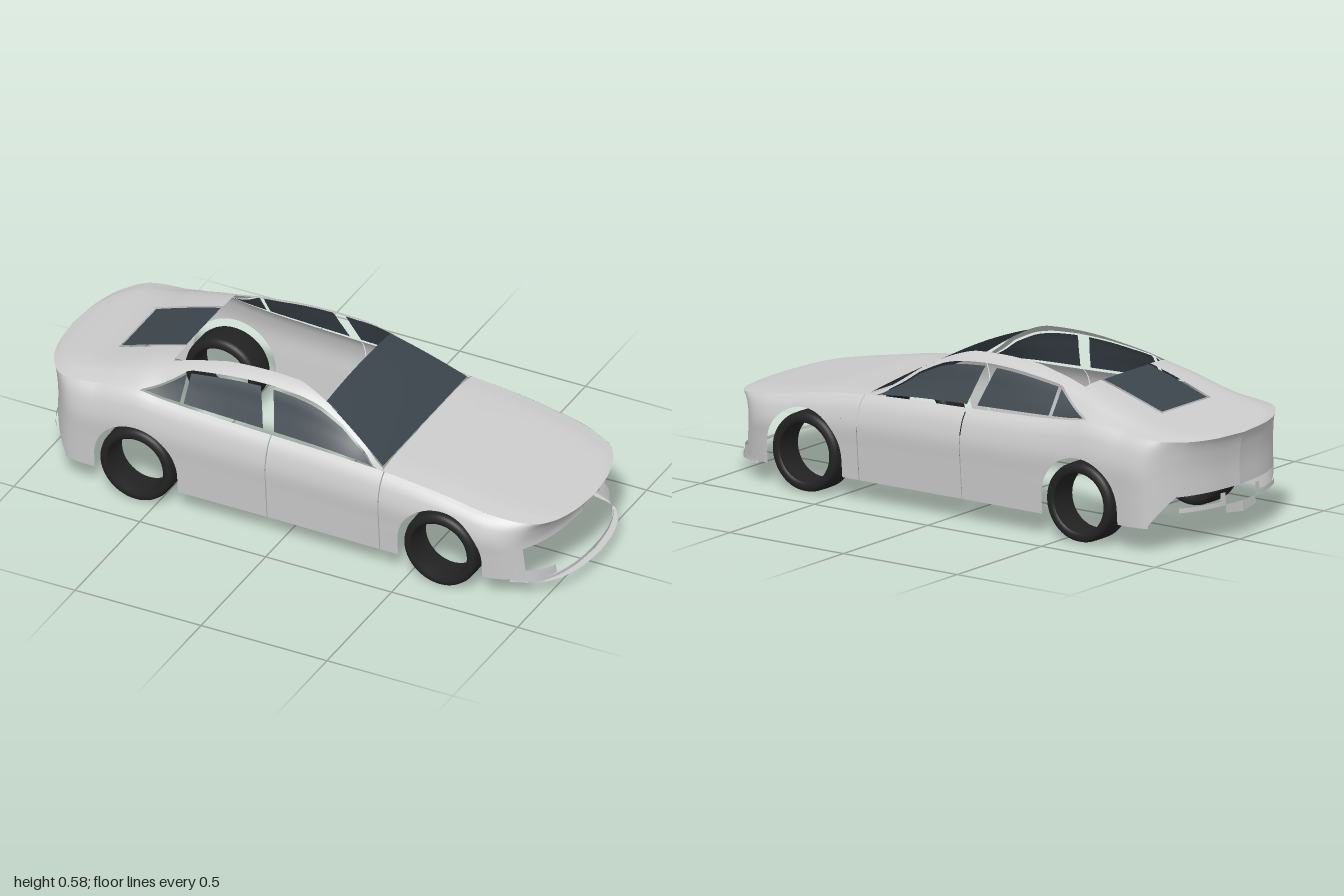
import * as THREE from 'three';

const paint = new THREE.MeshStandardMaterial({ color: 0xcccccc, side: THREE.DoubleSide });
const glass = new THREE.MeshStandardMaterial({ color: 0x3c454c, side: THREE.DoubleSide });
const rubber = new THREE.MeshStandardMaterial({ color: 0x222222, side: THREE.DoubleSide });

const { lerp, clamp } = THREE.MathUtils;

// Lookup in [x, value] pairs; smooth uses a cubic through the points.
function table(pts, smooth = false) {
  const n = pts.length;
  const slope = i => {
    const a = pts[Math.max(i - 1, 0)], b = pts[Math.min(i + 1, n - 1)];
    return (b[1] - a[1]) / (b[0] - a[0]);
  };
  return x => {
    x = clamp(x, pts[0][0], pts[n - 1][0]);
    let i = 0;
    while (i < n - 2 && x > pts[i + 1][0]) i++;
    const [x0, y0] = pts[i], [x1, y1] = pts[i + 1], h = x1 - x0, t = (x - x0) / h;
    if (!smooth) return lerp(y0, y1, t);
    const t2 = t * t, t3 = t2 * t;
    return (2 * t3 - 3 * t2 + 1) * y0 + (t3 - 2 * t2 + t) * h * slope(i)
      + (3 * t2 - 2 * t3) * y1 + (t3 - t2) * h * slope(i + 1);
  };
}

// Half outline in plan, nose centre round the left side to tail centre
const outline = new THREE.CatmullRomCurve3([
  [1, 0], [0.985, 0.15], [0.95, 0.27], [0.9, 0.345], [0.82, 0.385], [0.65, 0.395], [0.3, 0.395], [0, 0.392],
  [-0.4, 0.392], [-0.7, 0.392], [-0.85, 0.375], [-0.93, 0.29], [-0.978, 0.17], [-1, 0],
].map(([x, z]) => new THREE.Vector3(x, 0, z)));

function paramAt(x) {
  if (x >= 1) return 0;
  if (x <= -1) return 1;
  let a = 0, b = 1;
  for (let i = 0; i < 30; i++) {
    const m = (a + b) / 2;
    if (outline.getPoint(m).x > x) a = m; else b = m;
  }
  return (a + b) / 2;
}

// Shoulder height, rise of the centre line above it, and inset of the flanks
const shoulder = table([[-1, 0.395], [-0.8, 0.415], [-0.6, 0.44], [-0.5, 0.428], [-0.4, 0.42], [-0.2, 0.41], [0, 0.403],
  [0.2, 0.397], [0.38, 0.387], [0.6, 0.362], [0.8, 0.325], [0.9, 0.305], [1, 0.287]], true);
const rise = table([[-1, 0], [-0.95, 0.01], [-0.8, 0.027], [-0.6, 0.066], [-0.5, 0.107], [-0.4, 0.14], [-0.2, 0.178],
  [0, 0.184], [0.1, 0.165], [0.2, 0.123], [0.3, 0.062], [0.38, 0.013], [0.6, 0.012], [0.9, 0.01], [1, 0]], true);
const inset = table([[0, 0.015], [0.4, 0.005], [0.65, 0], [0.85, 0.014], [0.95, 0.032], [1, 0.05]], true);
const insetScale = table([[-1, 0.45], [-0.9, 0.6], [-0.75, 1], [1, 1]]);

// Point on the flank at outline parameter s and height y
function flank(s, y, extra = 0) {
  const p = outline.getPoint(s), t = outline.getTangent(s);
  const d = extra + inset(clamp((y - 0.08) / (shoulder(p.x) - 0.08), 0, 1)) * insetScale(p.x);
  return [p.x + t.z * d, y, Math.max(p.z - t.x * -d, 0)];
}

// Upper cross-section: fractions of half width and rise from shoulder (t=0) to centre (t=1)
const section = new THREE.CatmullRomCurve3([[1, 0], [0.89, 0.42], [0.78, 0.8], [0.64, 0.96], [0.35, 1], [0, 1.01]]
  .map(([z, y]) => new THREE.Vector3(0, y, z)));
function upper(s, t) {
  const bx = outline.getPoint(s).x, h = shoulder(bx), e = flank(s, h), q = section.getPoint(t);
  return [e[0], h + rise(bx) * q.y, e[2] * q.z];
}
const upperAt = (x, t) => upper(paramAt(x), t);

// Grid surface from fn(u, v), drawn on both sides of the car
function panel(group, name, mat, nu, nv, fn) {
  for (const m of [1, -1]) {
    const pos = [], idx = [];
    for (let i = 0; i <= nu; i++) for (let j = 0; j <= nv; j++) {
      const [x, y, z] = fn(i / nu, j / nv);
      pos.push(x, y, z * m);
      if (i < nu && j < nv) {
        const a = i * (nv + 1) + j, b = a + nv + 1;
        if (m > 0) idx.push(a, a + 1, b, b, a + 1, b + 1);
        else idx.push(a, b, a + 1, b, b + 1, a + 1);
      }
    }
    const g = new THREE.BufferGeometry();
    g.setAttribute('position', new THREE.Float32BufferAttribute(pos, 3));
    g.setIndex(idx);
    g.computeVertexNormals();
    const mesh = new THREE.Mesh(g, mat);
    mesh.name = (m > 0 ? 'left ' : 'right ') + name;
    group.add(mesh);
  }
}

const WHEELS = [0.63, -0.577], WHEEL_Y = 0.145, ARCH = 0.165;

export function createModel() {
  const car = new THREE.Group();
  car.name = 'car';

  // Flank panels: x range and lower edge
  const arch = cx => x => WHEEL_Y + Math.sqrt(Math.max(ARCH ** 2 - (x - cx) ** 2, 0));
  const level = y => () => y;
  const flanks = [
    ['nose band', 1, 0.925, level(0.2)],
    ['front bumper corner', 0.925, WHEELS[0] + ARCH, level(0.08)],
    ['front fender', WHEELS[0] + ARCH, WHEELS[0] - ARCH, arch(WHEELS[0])],
    ['front fender rear', WHEELS[0] - ARCH, 0.394, level(0.08)],
    ['front door', 0.39, -0.056, level(0.08)],
    ['rear door', -0.06, WHEELS[1] + ARCH, level(0.08)],
    ['rear fender', WHEELS[1] + ARCH, WHEELS[1] - ARCH, arch(WHEELS[1])],
    ['rear bumper corner', WHEELS[1] - ARCH, -0.86, level(0.09)],
    ['rear bumper taper', -0.86, -0.93, table([[-0.93, 0.2], [-0.86, 0.1]])],
    ['tail band', -0.93, -1, level(0.2)],
  ];
  for (const [name, x0, x1, low] of flanks) {
    const a = paramAt(x0), b = paramAt(x1), arched = /fender$/.test(name);
    panel(car, name, paint, arched ? 40 : 20, 24, (u, v) => {
      const s = lerp(a, b, arched ? (1 - Math.cos(u * Math.PI)) / 2 : u), x = outline.getPoint(s).x;
      return flank(s, lerp(low(x), shoulder(x), v));
    });
  }

  // Thin strips that follow the outline
  const strip = (name, x0, x1, low, high, extra = 0) => {
    const a = paramAt(x0), b = paramAt(x1);
    panel(car, name, paint, 16, 2, (u, v) => flank(lerp(a, b, u), lerp(low(u), high(u), v), extra));
  };
  strip('front lip', 1, 0.86, level(0.058), level(0.07), 0.035);
  strip('front corner blade', 0.968, 0.88, u => lerp(0.068, 0.06, u), u => lerp(0.1, 0.115, u), 0.025);
  strip('rear bumper strip', -0.93, -0.99, level(0.143), level(0.16), 0.01);
  strip('rear plate frame', -0.988, -0.991, level(0.143), level(0.19), 0.01);
  strip('rear lower panel', -0.991, -1, u => lerp(0.115, 0.105, u), level(0.145), 0.01);
  // Front splitter shelf
  panel(car, 'front splitter', paint, 16, 1, (u, v) =>
    flank(lerp(0, paramAt(0.86), u), 0.058, lerp(0.03, 0.06, v)));

  // Hood and tail deck
  const cap = (name, x0, x1) => {
    const a = paramAt(x0), b = paramAt(x1);
    panel(car, name, paint, 36, 24, (u, v) => upper(lerp(a, b, u), v));
  };
  cap('hood', 1, 0.384);
  cap('tail deck', -0.765, -1);

  // Window top edge and inner edge of the roof rail, as section parameters
  const windowTop = table([[-0.575, 0], [-0.42, 0.36], [-0.1, 0.38], [0.1, 0.36], [0.2, 0.31], [0.3, 0.16], [0.345, 0]]);
  const railOuter = x => (x < -0.575 || x > 0.36 ? 0 : windowTop(x) + 0.035);
  const railInner = table([[-0.5, 0.54], [-0.3, 0.61], [0, 0.6], [0.11, 0.5], [0.2, 0.42], [0.3, 0.28], [0.385, 0.06]]);
  panel(car, 'rear pillar', paint, 40, 16, (u, v) => {
    const x = lerp(-0.765, -0.5, u);
    return upperAt(x, lerp(railOuter(x), 0.75, v));
  });
  panel(car, 'roof rail', paint, 48, 10, (u, v) => {
    const x = lerp(-0.5, 0.382, u), o = railOuter(x);
    return upperAt(x, lerp(o, Math.max(railInner(x), o), v));
  });

  // Side windows: x range along the sill and along the top
  const windows = [
    ['quarter window', -0.565, -0.425, -0.565, -0.425],
    ['rear door window', -0.41, -0.095, -0.41, -0.135],
    ['front door window', -0.05, 0.342, -0.085, 0.342],
  ];
  for (const [name, b0, b1, t0, t1] of windows) {
    panel(car, name, glass, 20, 8, (u, v) => {
      const x = lerp(lerp(b0, b1, u), lerp(t0, t1, u), v);
      return upperAt(x, lerp(Math.min(0.03, windowTop(x)), windowTop(x), v));
    });
  }

  // Rear window and windshield
  panel(car, 'rear window', glass, 16, 8, (u, v) => upperAt(lerp(-0.757, -0.503, u), lerp(0.775, 1, v)));
  panel(car, 'windshield', glass, 12, 12, (u, v) => [
    lerp(0.112, 0.376, u),
    lerp(0.543, 0.394, u) + 0.012 * (1 - v * v) * (1 - u) + 0.02 * u * (1 - u),
    v * lerp(0.247, 0.326, u),
  ]);

  // Tyres: open rings with rounded shoulders
  const profile = [[0.109, -0.054], [0.118, -0.06], [0.132, -0.059], [0.14, -0.053], [0.144, -0.04], [0.145, 0],
    [0.144, 0.04], [0.14, 0.053], [0.132, 0.059], [0.118, 0.06], [0.109, 0.054], [0.107, 0], [0.109, -0.054]]
    .map(([r, w]) => new THREE.Vector2(r, w));
  const tyre = new THREE.LatheGeometry(profile, 56).rotateX(Math.PI / 2);
  for (const x of WHEELS) for (const m of [1, -1]) {
    const wheel = new THREE.Mesh(tyre, rubber);
    wheel.name = (m > 0 ? 'left ' : 'right ') + (x > 0 ? 'front tyre' : 'rear tyre');
    wheel.position.set(x, WHEEL_Y, m * 0.329);
    car.add(wheel);
  }
  return car;
}
